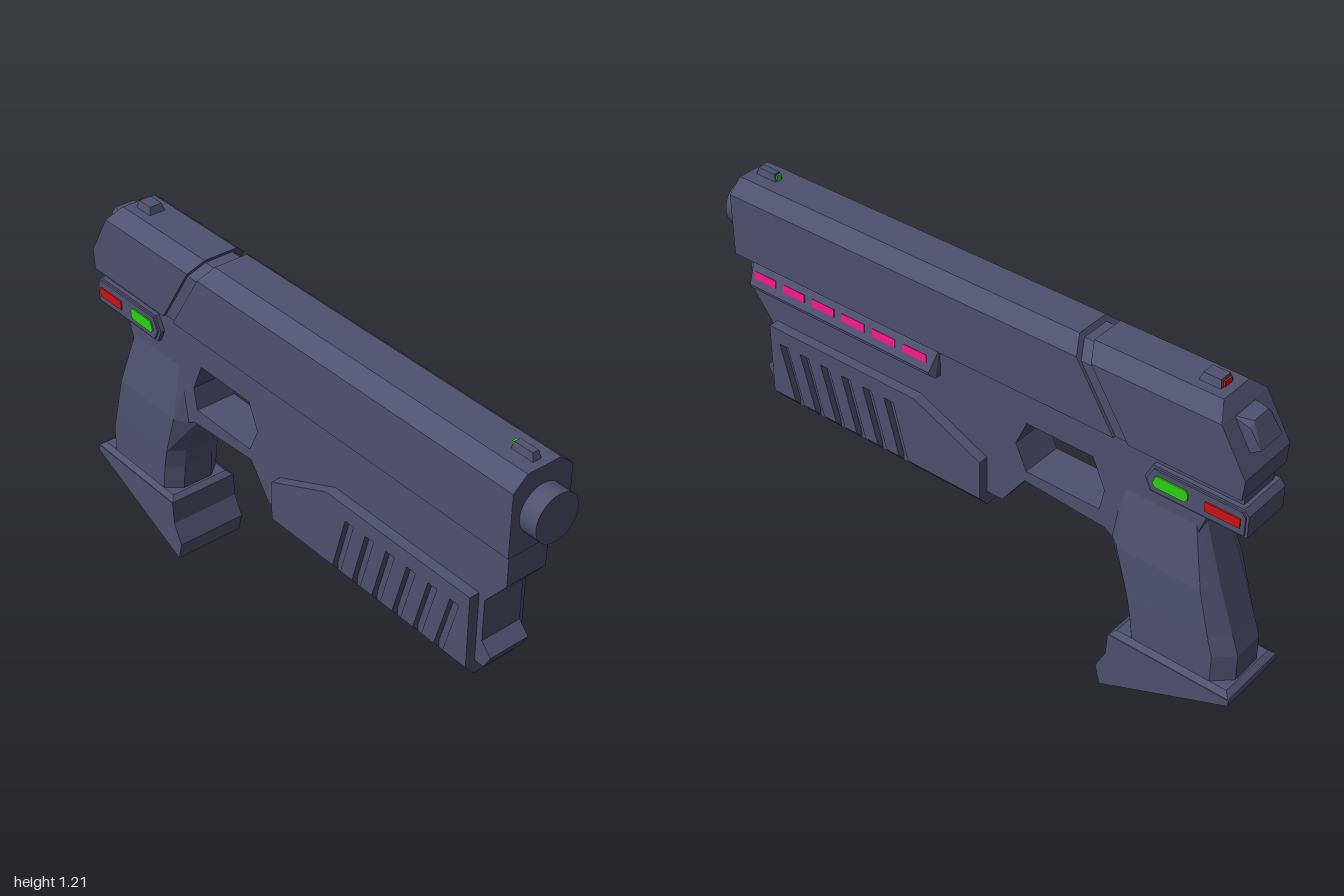
import * as THREE from 'three';
import { ConvexGeometry } from 'three/addons/geometries/ConvexGeometry.js';

const paint = (name, color) => {
  const m = new THREE.MeshStandardMaterial({ color });
  m.name = name;
  return m;
};

export function createModel() {
  const model = new THREE.Group();
  model.name = 'sciFiPistol';
  const body = paint('slateBlue', 0x4e516f);
  const green = paint('glowGreen', 0x2bd30f);
  const red = paint('signalRed', 0xcf1212);
  const pink = paint('neonPink', 0xe8107f);

  const add = (name, geometry, material = body) => {
    const mesh = new THREE.Mesh(geometry, material);
    mesh.name = name;
    model.add(mesh);
    return mesh;
  };
  // Side profile of [z, y] points, extruded across x from x0 to x1
  const side = (points, x0, x1, hole) => {
    const shape = new THREE.Shape(points.map(p => new THREE.Vector2(...p)));
    if (hole) shape.holes.push(new THREE.Path(hole.map(p => new THREE.Vector2(...p))));
    return new THREE.ExtrudeGeometry(shape, { depth: x1 - x0, bevelEnabled: false })
      .rotateY(-Math.PI / 2).translate(x1, 0, 0);
  };
  const hull = points => new ConvexGeometry(points.map(p => new THREE.Vector3(...p)));
  // Convex solid from [x, y, z] points mirrored across x
  const mirrorHull = points => hull(points.flatMap(([x, y, z]) => [[x, y, z], [-x, y, z]]));
  const box = (w, h, d, x, y, z) => new THREE.BoxGeometry(w, h, d).translate(x, y, z);

  // Slide: chamfered top, cut in two by a slanted groove
  const cut = (y, z) => z - (1.185 - y) * 0.64;
  const slide = (w, top, front, back) => mirrorHull(
    [[w, 0.932], [w, 1.0], [w, top - 0.042], [w - 0.048, top]]
      .flatMap(([x, y]) => [[x, y, front(y)], [x, y, back(y)]]));
  const rearZ = y => (y < 0.95 ? -0.965 : y < 1.05 ? -0.97 : y < 1.16 ? -0.883 : -0.853);
  add('frontSlide', slide(0.108, 1.187, () => 0.94, y => cut(y, -0.38)));
  add('rearSlide', slide(0.108, 1.187, y => cut(y, -0.43), rearZ));
  add('slideGrooveCore', slide(0.098, 1.172, y => cut(y, -0.33), y => cut(y, -0.48)));

  // Muzzle
  add('muzzle', new THREE.CylinderGeometry(0.078, 0.078, 0.1, 32)
    .rotateX(Math.PI / 2).translate(0, 1.052, 0.95));

  // Hammer at the rear
  add('hammer', mirrorHull([
    [0.05, 1.14, -0.87], [0.035, 1.142, -0.935], [0.05, 1.125, -0.935],
    [0.05, 1.07, -0.975], [0.05, 1.045, -0.94], [0.05, 1.045, -0.88]]));

  // Sights with coloured rear faces
  const sight = (name, z0, z1, w, material) => {
    add(name, mirrorHull([
      [w, 1.18, z0], [w, 1.18, z1], [w * 0.7, 1.211, z0 - 0.01], [w * 0.7, 1.211, z1 + 0.008]]));
    add(name + 'Dot', box(w * 1.1, 0.018, 0.006, 0, 1.198, z1 + 0.001), material);
  };
  sight('frontSight', 0.915, 0.83, 0.016, green);
  sight('rearSight', -0.75, -0.825, 0.031, red);

  // Frame with the trigger opening
  add('frame', side([
    [0.91, 0.935], [0.91, 0.8], [0.832, 0.7], [0.832, 0.555], [0.87, 0.515], [0.845, 0.468],
    [-0.12, 0.468], [-0.205, 0.585], [-0.5, 0.565], [-0.57, 0.52], [-0.8, 0.55],
    [-0.822, 0.73], [-0.84, 0.78], [-0.95, 0.8], [-0.955, 0.935]], -0.073, 0.073,
  [[-0.21, 0.8], [-0.45, 0.8], [-0.495, 0.7], [-0.48, 0.622], [-0.21, 0.622], [-0.17, 0.71]]));

  // Handle, stacked from octagonal sections:
  // y, front z, front corner z, back corner z, back z, half width, half face width
  const levels = [
    [0.225, -0.6, -0.645, -0.92, -0.975, 0.108, 0.055],
    [0.33, -0.592, -0.63, -0.92, -0.975, 0.108, 0.055],
    [0.4, -0.582, -0.615, -0.9, -0.95, 0.108, 0.055],
    [0.55, -0.51, -0.57, -0.862, -0.897, 0.106, 0.055],
    [0.75, -0.53, -0.57, -0.81, -0.828, 0.072, 0.045]];
  const ring = ([y, f, fc, bc, b, w, v]) => [[v, y, f], [w, y, fc], [w, y, bc], [v, y, b]];
  for (let i = 0; i < levels.length - 1; i++) {
    add('handle' + (i + 1), mirrorHull([...ring(levels[i]), ...ring(levels[i + 1])]));
  }

  // Magazine base with a small sloped collar
  add('magazineBase', side([
    [-0.57, 0.222], [-0.565, 0.14], [-0.53, 0.07], [-0.547, 0.003],
    [-1, 0.2], [-1, 0.222]], -0.127, 0.127));
  add('magazineCollar', mirrorHull([
    [0.127, 0.22, -0.57], [0.127, 0.22, -1], [0.108, 0.236, -0.59], [0.108, 0.236, -0.98]]));

  // Foregrip: core, slotted side plates and notched lower edge
  add('foregripCore', side([
    [0.805, 0.71], [0.2, 0.71], [-0.055, 0.6], [-0.055, 0.432], [0.805, 0.432]], -0.086, 0.086));
  const slots = Array.from({ length: 6 }, (_, i) => 0.77 - i * 0.0895);
  const plate = [[0.81, 0.46]];
  for (const z of slots) {
    plate.push([z - 0.055, 0.46], [z, 0.66], [z - 0.037, 0.66], [z - 0.092, 0.46]);
  }
  plate.push([-0.06, 0.46], [-0.06, 0.6], [0.2, 0.715], [0.81, 0.715]);
  add('leftForegripPlate', side(plate, 0.07, 0.108));
  add('rightForegripPlate', side(plate, -0.108, -0.07));
  const starts = [0.81, ...slots.map(z => z - 0.092)];
  const ends = [...slots.map(z => z - 0.055), -0.06];
  starts.forEach((a, i) => add('foregripRib' + (i + 1), mirrorHull(
    [a, ends[i]].flatMap(z => [[0.108, 0.46, z], [0.073, 0.418, z]]))));

  // Light rail on the left side
  add('lightRail', hull([0.89, 0.12].flatMap((z, i) => {
    const inset = i ? 0.012 : -0.012;
    return [[0.06, 0.915, z], [0.078, 0.915, z], [0.113, 0.845, z + inset],
      [0.11, 0.833, z + inset], [0.095, 0.82, z], [0.06, 0.82, z]];
  })));
  for (let i = 0; i < 6; i++) {
    const dash = add('railLight' + (i + 1), side([
      [0.05, 0.011], [-0.042, 0.011], [-0.05, -0.011], [0.042, -0.011]], -0.003, 0.003), pink);
    dash.position.set(0.0975, 0.877, 0.823 - i * 0.125);
    dash.rotation.z = Math.atan2(0.035, 0.07);
  }

  // Rear control band with lights on both sides
  add('controlBand', side([
    [-0.64, 0.84], [-0.665, 0.89], [-0.965, 0.89], [-0.982, 0.87], [-0.982, 0.797],
    [-0.66, 0.797]], -0.088, 0.088));
  for (const s of [1, -1]) {
    const label = s > 0 ? 'left' : 'right';
    add(label + 'BandFace', side([
      [-0.65, 0.84], [-0.672, 0.882], [-0.962, 0.882], [-0.974, 0.868], [-0.974, 0.805],
      [-0.668, 0.805]], s > 0 ? 0.08 : -0.094, s > 0 ? 0.094 : -0.08));
    add(label + 'GreenLight', side([
      [-0.672, 0.835], [-0.682, 0.864], [-0.78, 0.864], [-0.79, 0.853], [-0.79, 0.835],
      [-0.78, 0.824], [-0.682, 0.824]], s * 0.095 - 0.003, s * 0.095 + 0.003), green);
    add(label + 'RedLight', box(0.006, 0.032, 0.115, s * 0.095, 0.843, -0.903), red);
  }

  return model;
}
